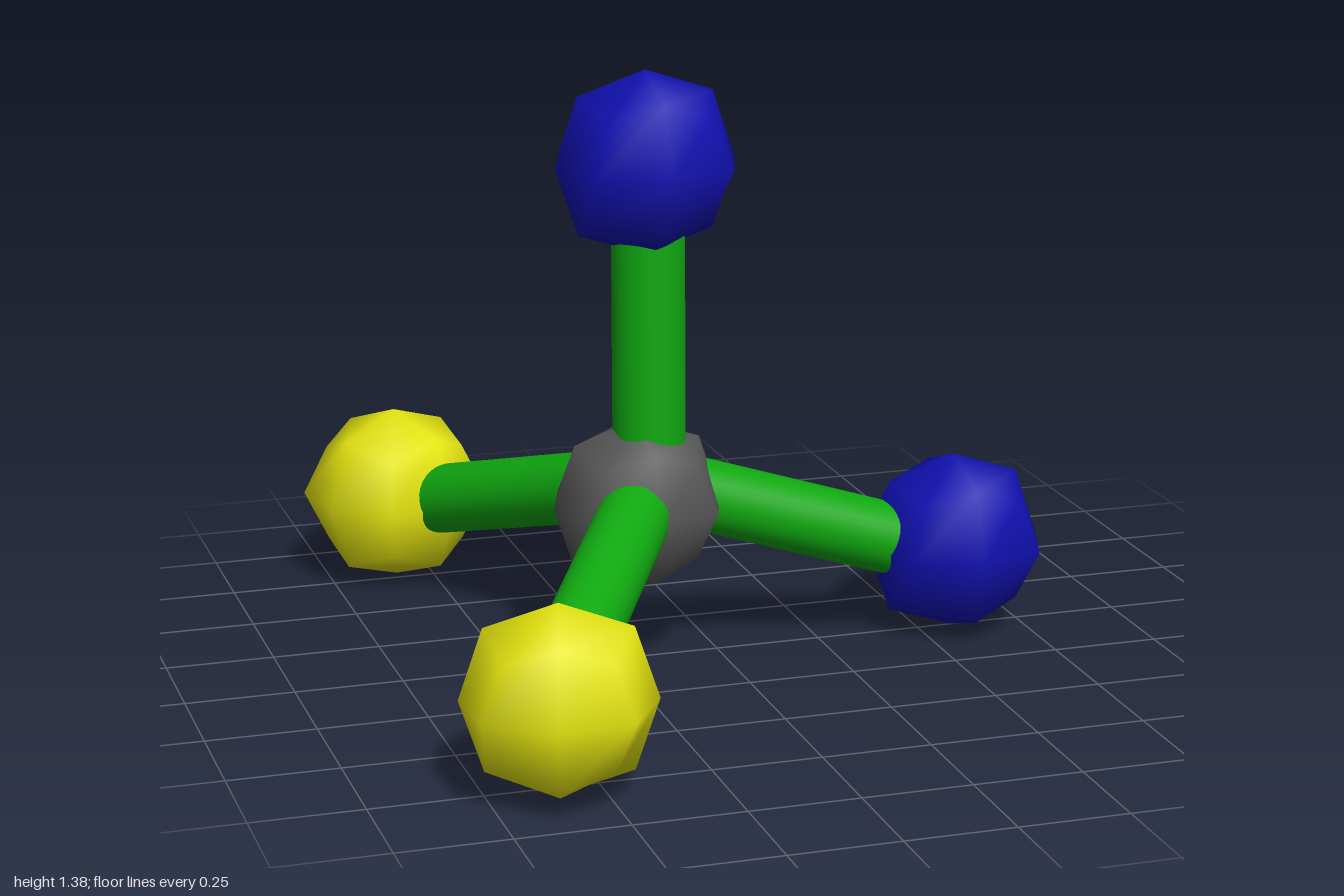
import * as THREE from 'three';
import { mergeVertices } from 'three/addons/utils/BufferGeometryUtils.js';

const BLUE = 0x1010b0, YELLOW = 0xe4e410, GREEN = 0x10a810, GREY = 0x585858;

// Low-poly ball: a cube subdivided once, with edges and corners pulled in
function ballGeometry(radius) {
  const box = new THREE.BoxGeometry(2, 2, 2, 2, 2, 2);
  box.deleteAttribute('uv');
  box.deleteAttribute('normal');
  const geometry = mergeVertices(box);
  const pos = geometry.attributes.position;
  const v = new THREE.Vector3();
  for (let i = 0; i < pos.count; i++) {
    v.fromBufferAttribute(pos, i);
    const nonZero = Math.round(v.lengthSq()); // 1 face centre, 2 edge, 3 corner
    v.multiplyScalar(radius * [0, 1, 0.75, 5 / 9][nonZero]);
    pos.setXYZ(i, v.x, v.y, v.z);
  }
  geometry.computeVertexNormals();
  return geometry;
}

function ball(name, color, radius, position, turn = 0) {
  const mesh = new THREE.Mesh(ballGeometry(radius), new THREE.MeshStandardMaterial({ color }));
  mesh.name = name;
  mesh.position.set(...position);
  mesh.rotation.y = THREE.MathUtils.degToRad(turn);
  return mesh;
}

// Round rod between two points
function rod(name, from, to) {
  const a = new THREE.Vector3(...from), b = new THREE.Vector3(...to);
  const dir = b.clone().sub(a);
  const mesh = new THREE.Mesh(
    new THREE.CylinderGeometry(0.084, 0.084, dir.length(), 32),
    new THREE.MeshStandardMaterial({ color: GREEN })
  );
  mesh.name = name;
  mesh.position.copy(a).add(b).multiplyScalar(0.5);
  mesh.quaternion.setFromUnitVectors(new THREE.Vector3(0, 1, 0), dir.normalize());
  return mesh;
}

export function createModel() {
  const model = new THREE.Group();
  model.name = 'ballAndRodModel';

  // Centre and the four outer balls
  model.add(
    ball('centreBall', GREY, 0.198, [-0.192, 0.378, 0]),
    ball('topBall', BLUE, 0.211, [-0.17, 1.175, 0.005]),
    ball('leftBall', BLUE, 0.211, [0.585, 0.217, 0]),
    ball('frontBall', YELLOW, 0.211, [-0.595, 0.217, 0.79], -15),
    ball('backBall', YELLOW, 0.211, [-0.585, 0.217, -0.785], 30)
  );

  // Rods joining the centre to each outer ball
  const hub = [-0.16, 0.425, 0];
  model.add(
    rod('topRod', [-0.163, 0.4, 0], [-0.163, 1.12, 0]),
    rod('leftRod', hub, [0.52, 0.205, 0]),
    rod('frontRod', hub, [-0.575, 0.215, 0.7]),
    rod('backRod', hub, [-0.53, 0.215, -0.7])
  );
  return model;
}
